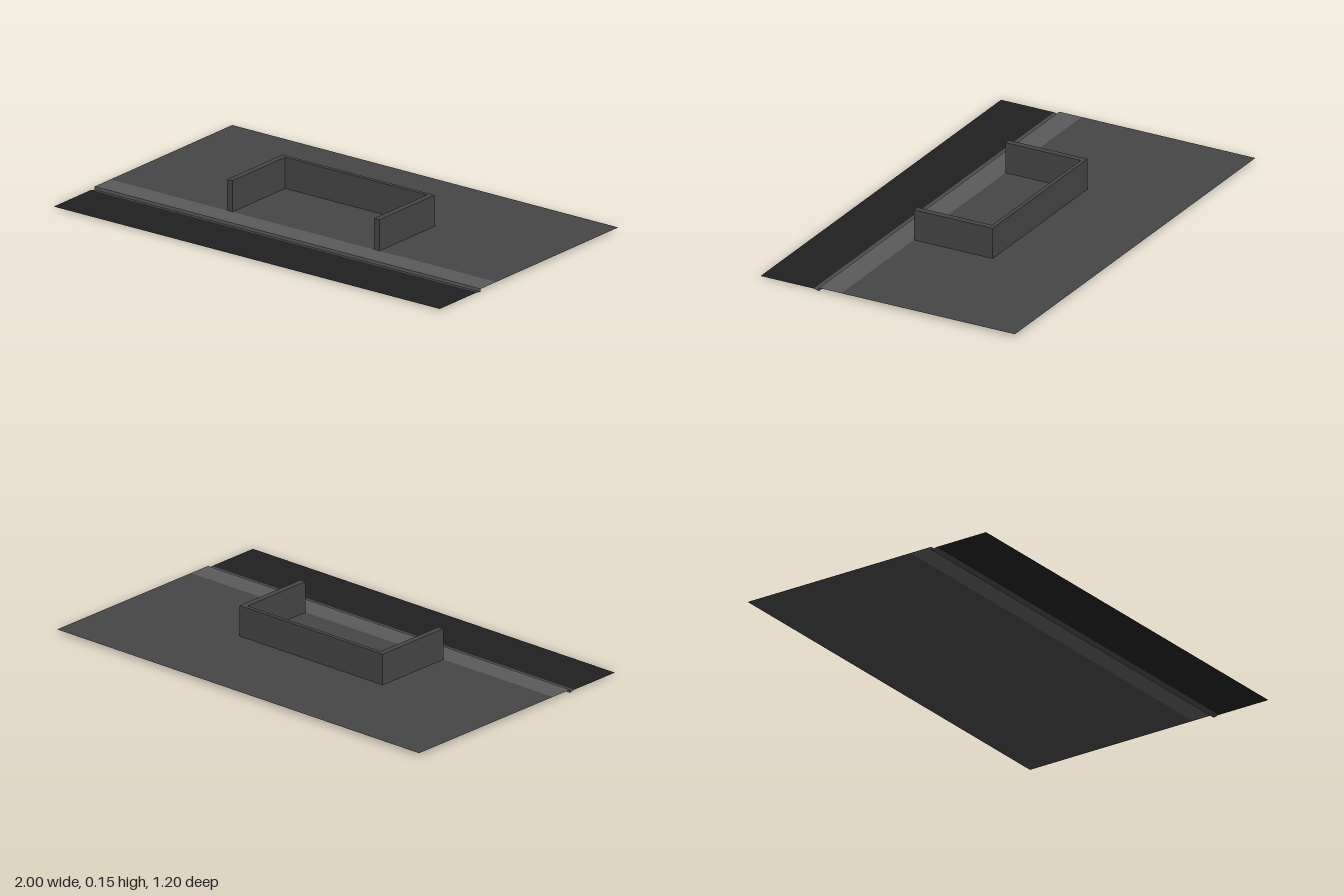
import * as THREE from 'three';

const material = (color) => new THREE.MeshStandardMaterial({ color, side: THREE.DoubleSide });
const GROUND_Y = 0.014;
const FRONT = 0.22; // z where the ground meets the kerb

// Plan outline given as [x, z] pairs
const plan = (points) => new THREE.Shape(points.map(([x, z]) => new THREE.Vector2(x, -z)));

export function createModel() {
  const group = new THREE.Group();
  const earth = material(0x454545);
  const stone = material(0x5a5a5a);
  const channel = material(0x484848);
  const asphalt = material(0x202020);

  const add = (name, geometry, mat) => {
    const mesh = new THREE.Mesh(geometry, mat);
    mesh.name = name;
    group.add(mesh);
  };

  // Full-width sheet between two [z, y] edges, back edge first
  const strip = (name, [z0, y0], [z1, y1], mat) => {
    const geometry = new THREE.BufferGeometry();
    geometry.setAttribute('position', new THREE.Float32BufferAttribute(
      [-1, y0, z0, -1, y1, z1, 1, y1, z1, 1, y0, z0], 3));
    geometry.setIndex([0, 1, 2, 0, 2, 3]);
    geometry.computeVertexNormals();
    add(name, geometry, mat);
  };

  // U-shaped low wall, open to the street
  const outer = [[-0.395, FRONT], [-0.395, -0.152], [0.395, -0.152], [0.395, FRONT]];
  const inner = [[0.367, FRONT], [0.367, -0.134], [-0.367, -0.134], [-0.367, FRONT]];
  const wall = new THREE.ExtrudeGeometry(plan([...outer, ...inner]),
    { depth: 0.15 - GROUND_Y, bevelEnabled: false });
  wall.rotateX(-Math.PI / 2).translate(0, GROUND_Y, 0);
  add('lowWall', wall, earth);

  // Ground around the wall and the floor enclosed by it
  const surround = plan([[-1, FRONT], ...outer, [1, FRONT], [1, -0.6], [-1, -0.6]]);
  const ground = new THREE.ShapeGeometry([surround, plan(inner)]);
  ground.rotateX(-Math.PI / 2).translate(0, GROUND_Y, 0);
  add('ground', ground, earth);

  // Kerb, gutter and road in front
  strip('kerbTop', [FRONT, GROUND_Y], [0.325, GROUND_Y], stone);
  strip('kerbFace', [0.325, GROUND_Y], [0.325, 0], stone);
  strip('gutter', [0.325, 0], [0.35, 0.006], channel);
  strip('road', [0.35, 0.006], [0.6, 0.006], asphalt);

  return group;
}
